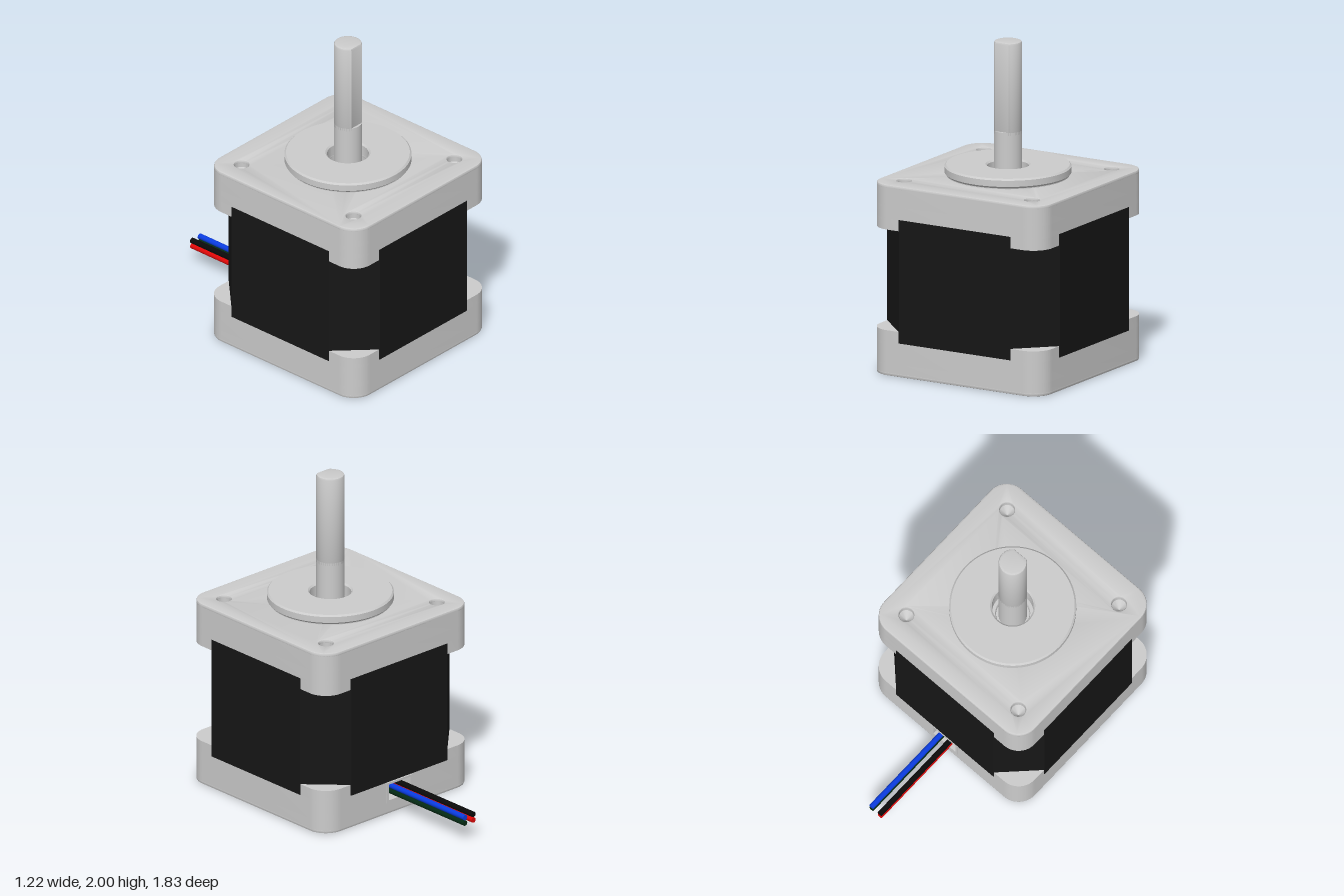
import * as THREE from 'three';
import { toCreasedNormals } from 'three/addons/utils/BufferGeometryUtils.js';

const H = 0.605, R = 0.13, FLAT = 0.39, HOLE = 0.45;
const CORNERS = [[1, 1], [-1, 1], [-1, -1], [1, -1]];

const metal = new THREE.MeshStandardMaterial({ color: 0xcccccc, side: THREE.DoubleSide });
const paint = (color) => new THREE.MeshStandardMaterial({ color });

// Rounded square outline, optionally with a slot cut into the back edge
function plateShape(slot = false) {
  const s = new THREE.Shape();
  s.moveTo(-H + R, -H).lineTo(H - R, -H).absarc(H - R, -H + R, R, -Math.PI / 2, 0);
  s.lineTo(H, H - R).absarc(H - R, H - R, R, 0, Math.PI / 2);
  if (slot) s.lineTo(0.1, H).lineTo(0.1, H - 0.1).lineTo(-0.1, H - 0.1).lineTo(-0.1, H);
  s.lineTo(-H + R, H).absarc(-H + R, H - R, R, Math.PI / 2, Math.PI);
  s.lineTo(-H, -H + R).absarc(-H + R, -H + R, R, Math.PI, Math.PI * 1.5);
  return s;
}

function circlePath(x, y, r) {
  return new THREE.Path().absarc(x, y, r, 0, Math.PI * 2, true);
}

// Plate with a central bore and four corner holes
function drilledPlate(boreR, holeR) {
  const s = plateShape();
  s.holes.push(circlePath(0, 0, boreR));
  for (const [x, y] of CORNERS) s.holes.push(circlePath(x * HOLE, y * HOLE, holeR));
  return s;
}

// Extrude a plan shape upward between two heights
function rise(shape, y0, y1, bevel = 0) {
  const g = new THREE.ExtrudeGeometry(shape, {
    depth: y1 - y0 - 2 * bevel, curveSegments: 16, bevelEnabled: bevel > 0,
    bevelThickness: bevel, bevelSize: bevel, bevelOffset: -bevel, bevelSegments: 2,
  });
  g.translate(0, 0, bevel).rotateX(-Math.PI / 2).translate(0, y0, 0);
  return toCreasedNormals(g, 0.5);
}

function lathe(points, segments = 64) {
  const g = new THREE.LatheGeometry(points.map(([r, y]) => new THREE.Vector2(r, y)), segments);
  return toCreasedNormals(g, 0.5);
}

export function createModel() {
  const model = new THREE.Group();
  model.name = 'steppingMotor';
  const body = new THREE.Group();
  body.name = 'motor';
  body.position.z = 0.31;
  model.add(body);

  const add = (name, geometry, material = metal, x = 0, y = 0, z = 0) => {
    const m = new THREE.Mesh(geometry, material);
    m.name = name;
    m.position.set(x, y, z);
    body.add(m);
    return m;
  };

  // Dark laminated core with chamfered corners
  const F = H + 0.003;
  const core = new THREE.Shape([
    [FLAT, -F], [F, -FLAT], [F, FLAT], [FLAT, F],
    [-FLAT, F], [-F, FLAT], [-F, -FLAT], [-FLAT, -F],
  ].map(([x, y]) => new THREE.Vector2(x, y)));
  add('laminatedCore', rise(core, 0.21, 0.97), paint(0x161616));

  // Top cap
  const topPlate = drilledPlate(0.125, 0.045);
  add('topCapBase', rise(plateShape(), 0.97, 1.05));
  add('topCapWall', rise(topPlate, 1.05, 1.16));
  add('topCapEdge', rise(topPlate, 1.145, 1.175, 0.01));

  // Bottom cap, slotted at the back for the cable outlet
  const bottomPlate = drilledPlate(0.12, 0.095);
  add('bottomCapEdge', rise(bottomPlate, 0, 0.03, 0.01));
  add('bottomCapWall', rise(bottomPlate, 0.015, 0.08));
  add('bottomCapBase', rise(plateShape(true), 0.08, 0.21));

  // Corner lugs of both caps, overlapping the core
  const lug = new THREE.Shape();
  lug.moveTo(0.38, 0.38).lineTo(H, FLAT).lineTo(H, H - R);
  lug.absarc(H - R, H - R, R, 0, Math.PI / 2).lineTo(FLAT, H);
  for (const [y0, y1] of [[0.9, 0.97], [0.21, 0.28]]) {
    const g = rise(lug, y0, y1);
    for (let i = 0; i < 4; i++) add('cornerLug', g).rotation.y = i * Math.PI / 2;
  }

  // Raised pilot ring and bearing around the shaft
  add('pilotRing', lathe([[0.125, 1.16], [0.125, 1.23], [0.135, 1.24], [0.37, 1.24],
    [0.38, 1.23], [0.38, 1.192], [0.368, 1.18], [0.368, 1.17]].reverse(), 96));
  add('topBearing', lathe([[0.125, 1.11], [0.105, 1.11], [0.1, 1.1], [0.1, 1.08], [0.085, 1.08]].reverse()));

  // Shaft with a flat on its front
  const r = 0.085, a = Math.acos(0.07 / r);
  const dShape = new THREE.Shape().absarc(0, 0, r, -Math.PI / 2 + a, Math.PI * 1.5 - a, false);
  add('shaft', new THREE.CylinderGeometry(r, r, 0.4, 48), metal, 0, 1.25, 0);
  add('shaftFlatEnd', rise(dShape, 1.42, 2, 0.013));

  // Lower bearing and shaft end inside the bottom bore
  add('bottomBearing', lathe([[0.12, 0.05], [0.095, 0.05], [0.085, 0.06], [0.085, 0.085]]));
  add('shaftEnd', new THREE.CylinderGeometry(0.06, 0.05, 0.05, 32), metal, 0, 0.06, 0);

  // Tapered mounting holes above, cross-head screws below
  const pit = lathe([[0, 1.07], [0.046, 1.13]], 32);
  const cross = new THREE.Path();
  const w = 0.012, l = 0.045;
  [[w, l], [w, w], [l, w], [l, -w], [w, -w], [w, -l], [-w, -l], [-w, -w], [-l, -w], [-l, w], [-w, w], [-w, l]]
    .forEach(([x, y], i) => (i ? cross.lineTo(x, y) : cross.moveTo(x, y)));
  const head = new THREE.Shape().absarc(0, 0, 0.078, 0, Math.PI * 2, false);
  head.holes.push(cross);
  const screw = rise(head, 0.025, 0.085, 0.012);
  for (const [x, z] of CORNERS) {
    add('mountingHole', pit, metal, x * HOLE, 0, z * HOLE);
    add('screwHead', screw, metal, x * HOLE, 0, z * HOLE).rotation.y = Math.PI / 4;
  }

  // Cable outlet frame
  const frame = new THREE.Shape();
  frame.moveTo(-0.105, 0.075).lineTo(0.105, 0.075).lineTo(0.105, 0.205).lineTo(-0.105, 0.205);
  const opening = new THREE.Path();
  opening.moveTo(-0.088, 0.09).lineTo(-0.088, 0.192).lineTo(0.088, 0.192).lineTo(0.088, 0.09);
  frame.holes.push(opening);
  add('cableOutlet', new THREE.ExtrudeGeometry(frame, { depth: 0.106, bevelEnabled: false }), metal, 0, 0, -0.61);

  // Four lead wires
  const wire = new THREE.CylinderGeometry(0.017, 0.017, 0.725, 20).rotateX(Math.PI / 2);
  for (const [name, color, x, y] of [
    ['blackWire', 0x0a0a0a, -0.034, 0.16], ['blueWire', 0x0a3ce0, 0.034, 0.16],
    ['redWire', 0xe00808, -0.034, 0.124], ['greenWire', 0x042a14, 0.034, 0.124],
  ]) add(name, wire, paint(color), x, y, -0.8625);

  return model;
}
